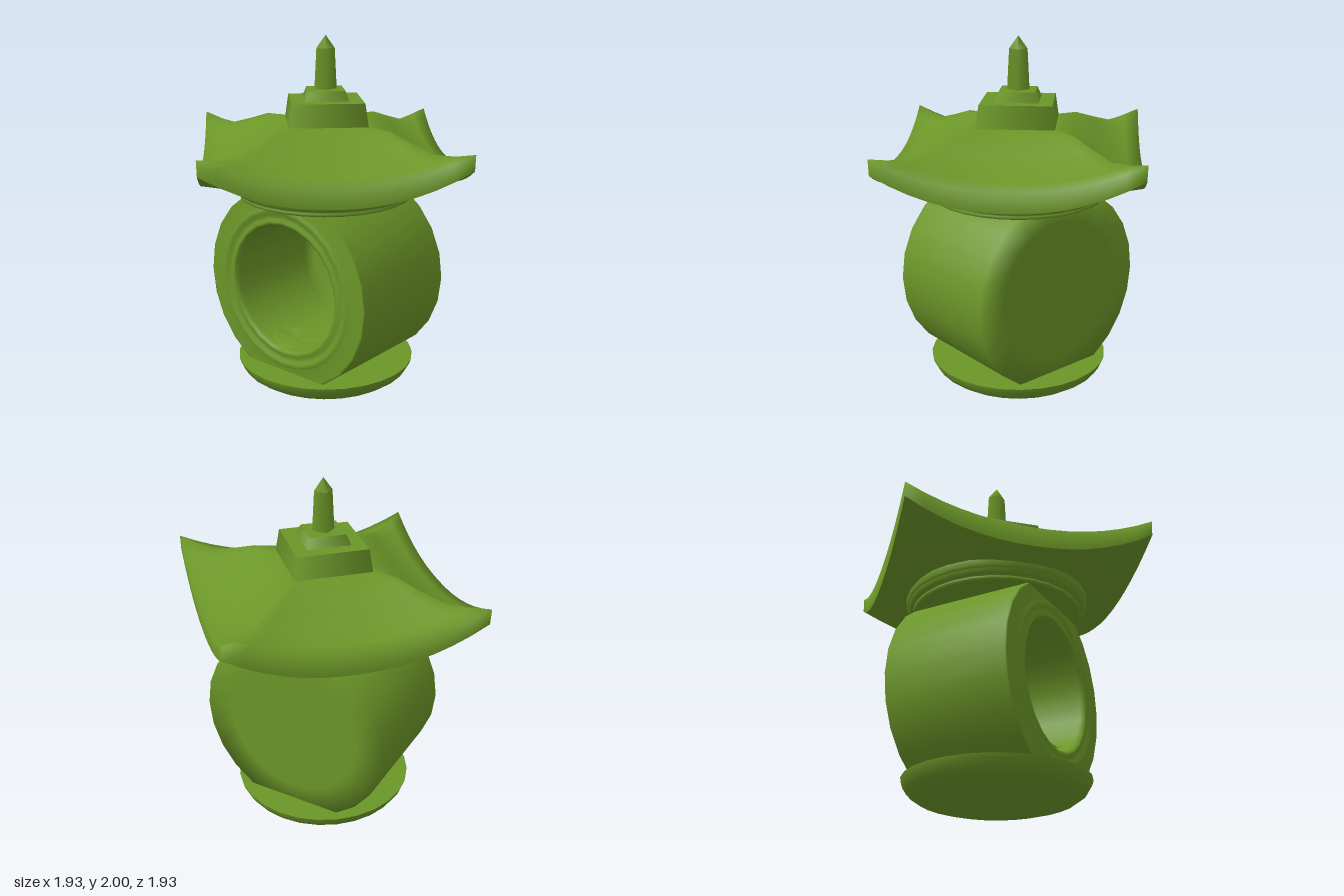
import * as THREE from 'three';

const green = new THREE.MeshStandardMaterial({ color: 0x6b9628 });
const greenThin = new THREE.MeshStandardMaterial({ color: 0x6b9628, side: THREE.DoubleSide });

const pts = (list) => list.map(([x, y]) => new THREE.Vector2(x, y));

// Lofts square rings whose corners lie on the x and z axes.
// Each ring is [half diagonal, y at the corners, y at the middle of a side].
function squareLoft(rings, power, perSide = 14) {
  const corners = [[0, 1], [1, 0], [0, -1], [-1, 0]];
  const count = perSide * 4;
  const position = [], index = [];
  rings.forEach(([s, yCorner, yMid]) => {
    for (let j = 0; j < count; j++) {
      const side = Math.floor(j / perSide), t = (j % perSide) / perSide;
      const a = corners[side], b = corners[(side + 1) % 4];
      const lift = Math.pow(Math.abs(2 * t - 1), power);
      position.push(
        s * (a[0] + (b[0] - a[0]) * t),
        yMid + (yCorner - yMid) * lift,
        s * (a[1] + (b[1] - a[1]) * t));
    }
  });
  for (let i = 0; i < rings.length - 1; i++) {
    for (let j = 0; j < count; j++) {
      const k = (j + 1) % count;
      const a = i * count + j, b = i * count + k;
      index.push(a, b, b + count, a, b + count, a + count);
    }
  }
  const geo = new THREE.BufferGeometry();
  geo.setAttribute('position', new THREE.Float32BufferAttribute(position, 3));
  geo.setIndex(index);
  geo.computeVertexNormals();
  return geo;
}

export function createModel() {
  const model = new THREE.Group();
  const add = (name, geo, material = green, parent = model) => {
    const mesh = new THREE.Mesh(geo, material);
    mesh.name = name;
    parent.add(mesh);
    return mesh;
  };

  // Shallow round dish under the body
  add('baseDish', new THREE.LatheGeometry(pts([
    [0, 0.005], [0.2, 0.012], [0.36, 0.03], [0.43, 0.05], [0.48, 0.085], [0.505, 0.125], [0.512, 0.15],
  ]), 28));
  const baseTop = new THREE.CircleGeometry(0.512, 28).rotateX(-Math.PI / 2);
  add('baseTop', baseTop).position.y = 0.15;

  // Hollow drum lying along z, with a moulded rim round its opening
  const body = new THREE.LatheGeometry(pts([
    [0, -0.355], [0.4, -0.355], [0.565, -0.355], [0.565, 0.355], [0.555, 0.36],
    [0.47, 0.36], [0.458, 0.373], [0.435, 0.373], [0.422, 0.36], [0.4, 0.36],
    [0.385, 0.37], [0.37, 0.365], [0.363, 0.34], [0.36, -0.22], [0.33, -0.28], [0, -0.3],
  ]), 24).rotateX(Math.PI / 2);
  add('body', body).position.y = 0.64;

  // Wavy leaf on the floor of the opening, its tip hanging over the rim
  const leaf = new THREE.RingGeometry(0.001, 1, 32, 4);
  const p = leaf.attributes.position;
  for (let i = 0; i < p.count; i++) {
    const r = Math.hypot(p.getX(i), p.getY(i));
    const a = Math.atan2(p.getY(i), p.getX(i));
    const wave = r * (1 + 0.1 * r * Math.sin(5 * a + 0.6));
    const x = 0.155 * wave * Math.cos(a);
    const tip = Math.pow(Math.max(0, -Math.sin(a)), 10) * r ** 3;
    const z = 0.24 - 0.11 * wave * Math.sin(a) + 0.04 * tip;
    const y = 0.305 + 1.5 * x * x + 0.04 * x + 0.006 * r * Math.sin(4 * a) - 0.03 * tip;
    p.setXYZ(i, x, y, z);
  }
  leaf.computeVertexNormals();
  add('leaf', leaf, greenThin);

  // Stepped round collar between body and roof
  add('collar', new THREE.LatheGeometry(pts([
    [0, 1.112], [0.47, 1.112], [0.47, 1.112], [0.483, 1.118], [0.483, 1.132], [0.475, 1.14],
    [0.497, 1.145], [0.508, 1.165], [0.508, 1.175], [0.52, 1.18], [0.52, 1.215],
  ]), 28));

  // Square roof with upturned corners
  const roof = new THREE.Group();
  roof.name = 'roof';
  model.add(roof);
  add('roofTop', squareLoft([
    [0.962, 1.39, 1.21], [0.965, 1.475, 1.32], [0.85, 1.45, 1.345], [0.72, 1.44, 1.385],
    [0.58, 1.48, 1.44], [0.44, 1.525, 1.5], [0.3, 1.53, 1.53], [0.001, 1.53, 1.53],
  ], 2.2), green, roof);
  add('roofUnderside', squareLoft([
    [0.001, 1.2, 1.2], [0.45, 1.2, 1.2], [0.6, 1.228, 1.2], [0.72, 1.27, 1.2],
    [0.84, 1.325, 1.204], [0.962, 1.39, 1.21],
  ], 1.9), green, roof);

  // Two tapered square tiers
  [['lowerTier', 0.277, 0.305, 1.51, 1.655], ['upperTier', 0.14, 0.172, 1.65, 1.71]]
    .forEach(([name, top, bottom, y0, y1]) => {
      add(name, new THREE.CylinderGeometry(top, bottom, y1 - y0, 4)).position.y = (y0 + y1) / 2;
    });

  // Square spire with a pointed tip, its sides facing the axes
  const spire = new THREE.Group();
  spire.name = 'spire';
  spire.rotation.y = Math.PI / 4;
  model.add(spire);
  add('spireShaft', new THREE.CylinderGeometry(0.05, 0.062, 0.23, 4, 1, true), green, spire).position.y = 1.815;
  add('spireTip', new THREE.ConeGeometry(0.05, 0.07, 4), green, spire).position.y = 1.965;

  return model;
}
